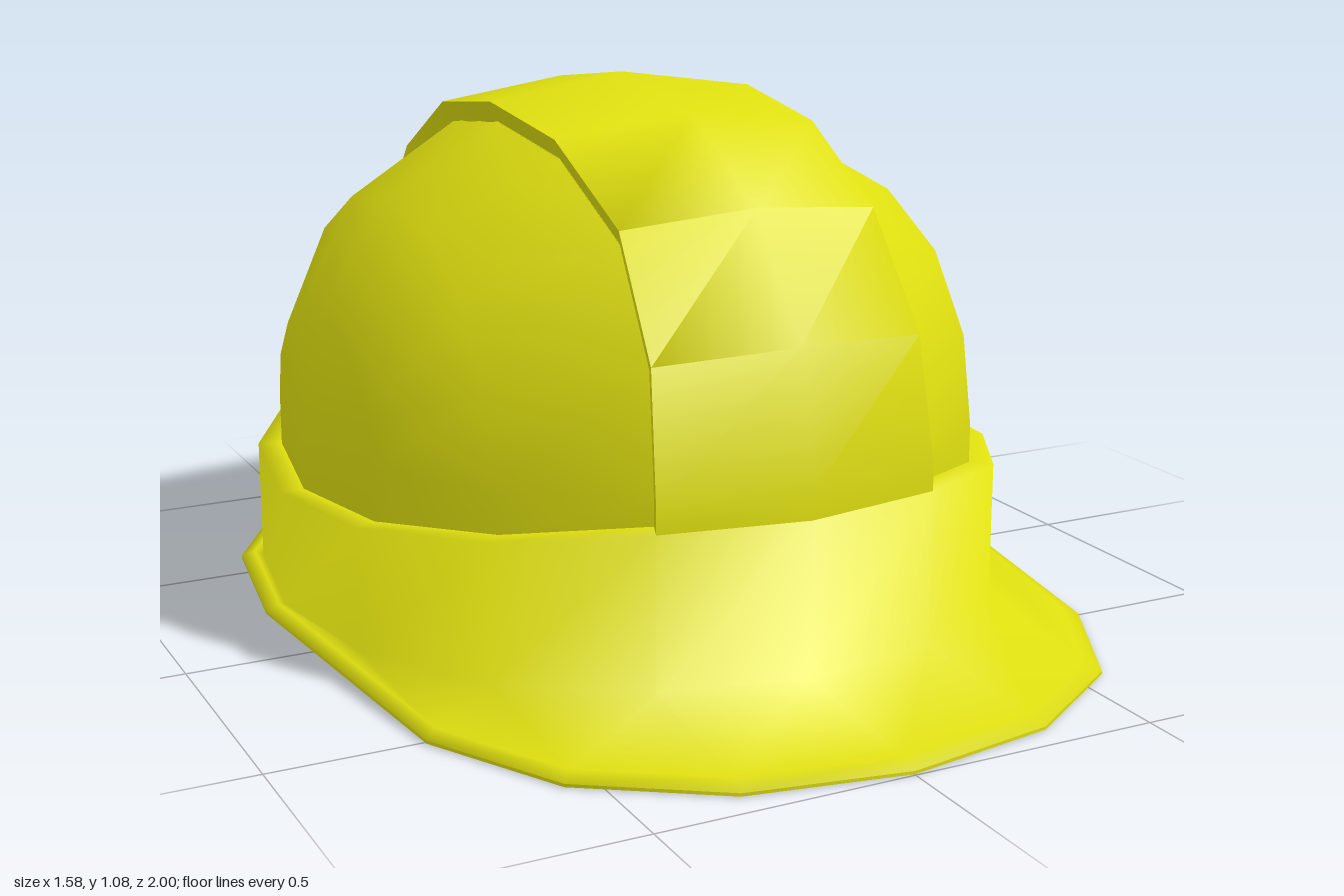
import * as THREE from 'three';
import { toCreasedNormals } from 'three/addons/utils/BufferGeometryUtils.js';

const STEP = Math.PI / 8;   // sixteen-sided plan and profile
const ZC = -0.157;          // centre of the crown
const BASE = 0.40;          // where the vertical wall turns into the dome
const THICK = 0.045;
const OUTER = { a: 0.753, b: 0.675, c: 0.797 }; // ridge and band
const DOME = { a: 0.705, b: 0.63, c: 0.748 };   // recessed side panels

const material = new THREE.MeshStandardMaterial({ color: 0xdfdf10, side: THREE.DoubleSide });

// Skin a list of equally long rows of [x, y, z] points
function skin(rows, closed, crease) {
  const n = rows[0].length, index = [];
  for (let r = 0; r < rows.length - 1; r++) {
    for (let i = 0; i < (closed ? n : n - 1); i++) {
      const j = (i + 1) % n;
      const p = r * n + i, q = r * n + j, s = p + n, t = q + n;
      index.push(p, q, t, p, t, s);
    }
  }
  const g = new THREE.BufferGeometry();
  g.setAttribute('position', new THREE.Float32BufferAttribute(rows.flat(2), 3));
  g.setIndex(index);
  return toCreasedNormals(g, crease);
}

const shrink = (e, d) => ({ a: e.a - d, b: e.b - d, c: e.c - d });
const range = (from, to) => Array.from({ length: to - from + 1 }, (_, i) => from + i);

// The crown is slightly fuller than an ellipsoid between its axes
const full = (k) => 0.025 * Math.sin(k * STEP * 2) ** 2;

// The ridge is a little narrower between its ends and its top
const waist = (i) => 1 - 0.1 * Math.sin(i * STEP * 2) ** 2;

// Point on the crown: column j runs sideways, row i from front over the top to the back
function crown(e, i, j) {
  const sx = Math.sin(j * STEP) * (Math.abs(j) === 1 ? waist(i) : 1);
  const s = Math.sqrt(Math.max(0, 1 - sx * sx));
  const m = 1 + full(j) + full(i) * s * s;
  return [e.a * sx * m, BASE + e.b * s * m * Math.sin(i * STEP), ZC + e.c * s * m * Math.cos(i * STEP)];
}

// Point on the sixteen-sided plan
function plan(e, k, y) {
  const m = 1 + full(k);
  return [e.a * m * Math.sin(k * STEP), y, ZC + e.c * m * Math.cos(k * STEP)];
}

// Height of the band's upper edge, highest at front and back
const bandTop = (k) => 0.283 + 0.067 * Math.min(1, Math.abs(Math.cos(k * STEP)) / 0.924) ** 2;

// Outline of the brim from front to back on one side: x, z, height
const BRIM = [
  [0, 1.0, 0], [0.31, 0.945, 0], [0.56, 0.78, 0], [0.705, 0.51, 0], [0.792, -0.16, 0.03],
  [0.742, -0.5, 0.032], [0.582, -0.775, 0.032], [0.312, -0.95, 0.032], [0, -1.0, 0.032],
];
function brimPoint(k, inset, lift) {
  const [x, z, y] = BRIM[k > 8 ? 16 - k : k];
  const s = 1 - inset;
  return [(k > 8 ? -x : x) * s, y + lift, ZC + (z - ZC) * s];
}

export function createModel() {
  const group = new THREE.Group();
  const add = (name, rows, closed = false, crease = 0.7) => {
    const mesh = new THREE.Mesh(skin(rows, closed, crease), material);
    mesh.name = name;
    group.add(mesh);
  };

  const inside = shrink(OUTER, THICK);
  const ring = range(0, 15);

  // Outer skin and its inward offset
  for (const [prefix, d] of [['outer', 0], ['inner', THICK]]) {
    const shell = shrink(OUTER, d), dome = shrink(DOME, d);

    // Walls under the dome: straight to the band outside, flaring out to the opening inside
    const feet = (e, k) => (d
      ? [plan(e, k, 0.3), plan(inside, k, 0.06), plan(inside, k, 0.035)]
      : [plan(e, k, bandTop(k))]);
    const withFeet = (points, rows) => {
      const front = points.map(([e, j]) => feet(e, j));
      const back = points.map(([e, j]) => feet(e, 8 - j));
      front[0].forEach((_, f) => {
        rows.unshift(front.map((p) => p[f]));
        rows.push(back.map((p) => p[f]));
      });
      return rows;
    };

    // Raised ridge from front to back, with its rounded side steps
    const across = [[dome, -1], [shell, -1], [shell, 0], [shell, 1], [dome, 1]];
    add(prefix + 'Ridge', withFeet(across,
      range(0, 8).map((i) => across.map(([e, j]) => crown(e, i, j)))), false, 1.75);

    // Rounded side panels
    for (const side of [1, -1]) {
      const cols = (side > 0 ? [1, 2, 3, 4] : [-4, -3, -2, -1]).map((j) => [dome, j]);
      add(prefix + (side > 0 ? 'LeftPanel' : 'RightPanel'), withFeet(cols,
        range(0, 8).map((i) => cols.map(([e, j]) => crown(e, i, j)))));
    }
  }

  // Brim and band in one sweep: underside, thin lip, upper face, band wall and ledge
  add('brimAndBand', [
    ring.map((k) => (k === 8 ? [0, 0.015, -0.82] : plan(inside, k, 0.035))),
    ring.map((k) => brimPoint(k, 0.03, 0)),
    ring.map((k) => brimPoint(k, 0, 0.002)),
    ring.map((k) => brimPoint(k, 0, 0.008)),
    ring.map((k) => brimPoint(k, 0.035, 0.018)),
    ring.map((k) => plan(OUTER, k, 0.048)),
    ring.map((k) => plan(OUTER, k, bandTop(k))),
    ring.map((k) => plan(k % 8 ? DOME : OUTER, k, bandTop(k))),
  ], true, 1.75);

  return group;
}
